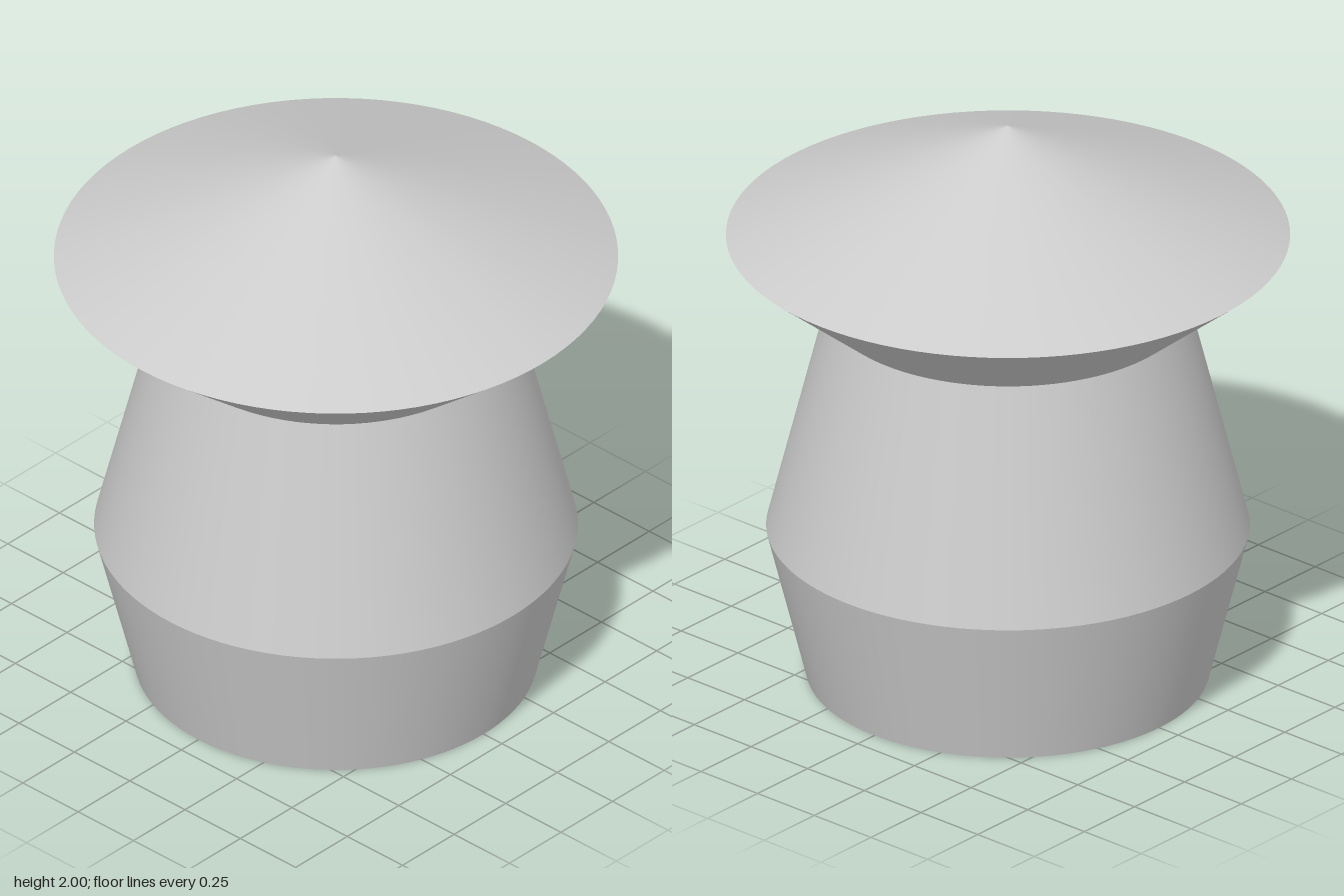
import * as THREE from 'three';

const SIDES = 96;

export function createModel() {
  const group = new THREE.Group();
  const material = new THREE.MeshStandardMaterial({ color: 0xcccccc });

  // A conical band between two heights; separate bands keep the rims sharp
  function band(name, y0, r0, y1, r1) {
    const geometry = new THREE.CylinderGeometry(r1, r0, y1 - y0, SIDES, 1, true);
    const mesh = new THREE.Mesh(geometry, material);
    mesh.position.y = (y0 + y1) / 2;
    mesh.name = name;
    group.add(mesh);
  }

  // Pot body
  band('lowerBody', 0, 0.667, 0.533, 0.8);
  band('upperBody', 0.533, 0.8, 1.333, 0.6);

  // Flared lid with pointed top
  band('lidFlare', 1.333, 0.6, 1.6, 0.933);
  band('lidCone', 1.6, 0.933, 2, 0);

  // Flat underside, facing down
  const base = new THREE.Mesh(new THREE.CircleGeometry(0.667, SIDES), material);
  base.rotation.x = Math.PI / 2;
  base.name = 'base';
  group.add(base);

  return group;
}
